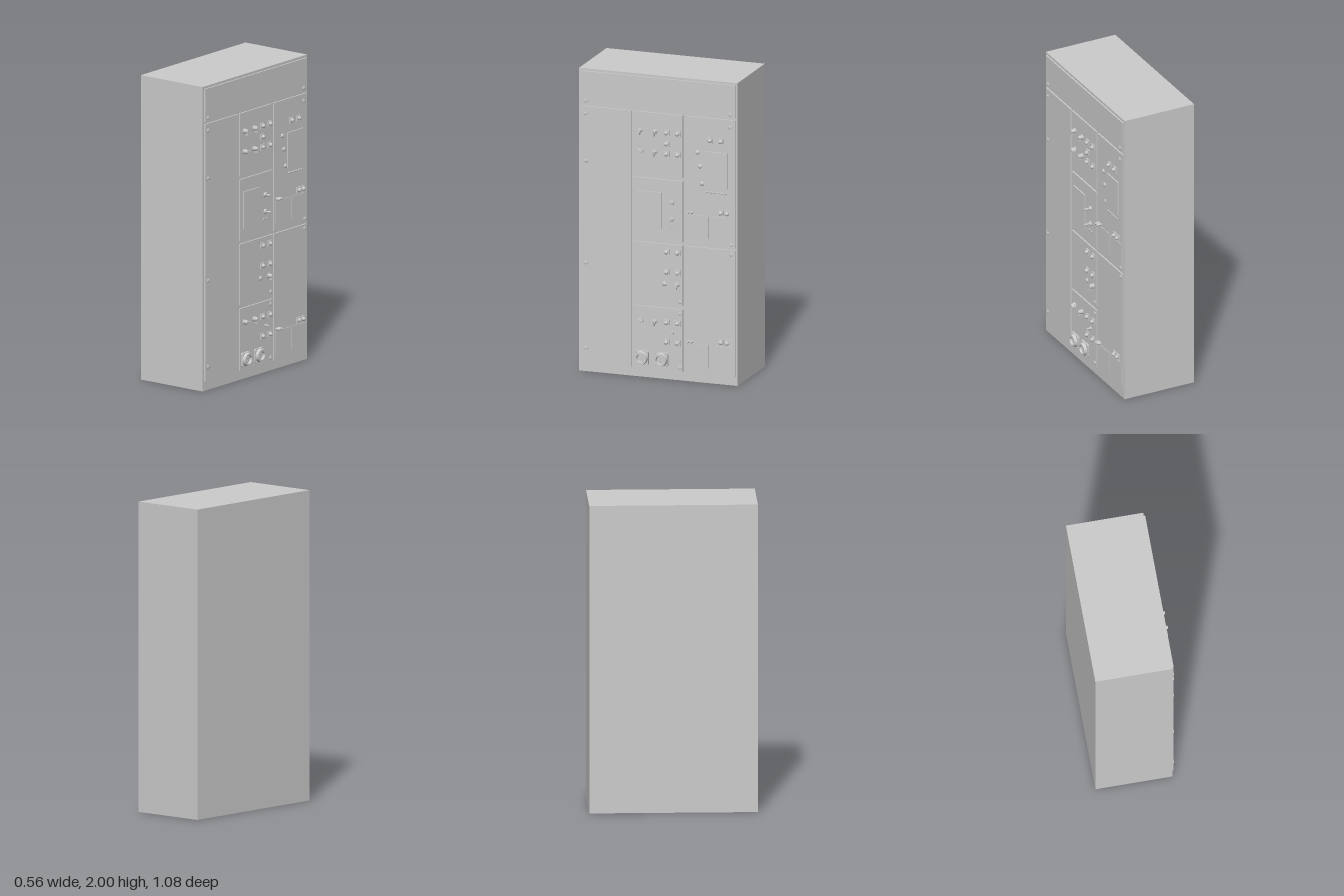
import * as THREE from 'three';

const mat = new THREE.MeshStandardMaterial({ color: 0xcccccc });
const FACE = 0.01; // door surface, measured from the cabinet wall

function add(parent, name, geo, x = 0, y = 0, z = 0) {
  const m = new THREE.Mesh(geo, mat);
  m.name = name;
  m.position.set(x, y, z);
  parent.add(m);
  return m;
}

// Plate given by its edges, standing from z0 to z1
function plate(parent, name, [x0, x1, y0, y1], z0, z1) {
  return add(parent, name, new THREE.BoxGeometry(x1 - x0, y1 - y0, z1 - z0),
    (x0 + x1) / 2, (y0 + y1) / 2, (z0 + z1) / 2);
}

// Cylinder standing out of the door
function stud(parent, name, x, y, r, z0, z1, rTop = r, seg = 20) {
  const g = new THREE.CylinderGeometry(rTop, r, z1 - z0, seg).rotateX(Math.PI / 2);
  return add(parent, name, g, x, y, (z0 + z1) / 2);
}

// Rounded cap standing out of the door
function dome(parent, name, x, y, r, z, h) {
  const g = new THREE.SphereGeometry(r, 18, 6, 0, Math.PI * 2, 0, Math.PI / 2);
  return add(parent, name, g.rotateX(Math.PI / 2).scale(1, 1, h / r), x, y, z);
}

function part(parent, name, x, y) {
  const g = new THREE.Group();
  g.name = name;
  g.position.set(x, y, FACE);
  parent.add(g);
  return g;
}

// Square bezel with a round lamp cap
function pushButton(parent, x, y, s = 0.037) {
  const g = part(parent, 'pushButton', x, y);
  plate(g, 'buttonBezel', [-s / 2, s / 2, -s / 2, s / 2], 0, 0.008);
  stud(g, 'buttonCollar', 0, 0, s * 0.38, 0.008, 0.014);
  dome(g, 'buttonCap', 0, 0, s * 0.36, 0.014, 0.011);
}

// Rotary selector with a grip bar and pointer
function selector(parent, x, y, angle = 0) {
  const g = part(parent, 'selectorSwitch', x, y);
  stud(g, 'selectorBase', 0, 0, 0.017, 0, 0.012);
  stud(g, 'selectorKnob', 0, 0, 0.014, 0.012, 0.031, 0.012);
  plate(g, 'selectorPointer', [-0.004, 0.004, -0.026, 0.008], 0.008, 0.032);
  g.rotation.z = angle;
}

// Power outlet: rounded flange, hollow tapered shroud and two contacts
function outlet(parent, x, y) {
  const g = part(parent, 'powerOutlet', x, y);
  const s = new THREE.Shape();
  const a = 0.047, c = 0.034;
  s.moveTo(-c, -a);
  s.lineTo(c, -a).quadraticCurveTo(a, -a, a, -c);
  s.lineTo(a, c).quadraticCurveTo(a, a, c, a);
  s.lineTo(-c, a).quadraticCurveTo(-a, a, -a, c);
  s.lineTo(-a, -c).quadraticCurveTo(-a, -a, -c, -a);
  add(g, 'outletFlange', new THREE.ExtrudeGeometry(s, { depth: 0.012, bevelEnabled: false, curveSegments: 5 }));
  const profile = [[0.045, 0.012], [0.041, 0.032], [0.027, 0.032], [0.024, 0.016], [0, 0.016]]
    .map(([r, z]) => new THREE.Vector2(r, z));
  // Separate bands keep the rims crisp
  for (let i = 0; i < profile.length - 1; i++) {
    add(g, 'outletShroud', new THREE.LatheGeometry([profile[i], profile[i + 1]], 24).rotateX(Math.PI / 2))
      .material = ringMat;
  }
  for (const dy of [-0.011, 0.011]) stud(g, 'outletContact', 0, dy, 0.005, 0.016, 0.024, 0.005, 12);
  for (const dx of [-0.037, 0.037]) for (const dy of [-0.037, 0.037]) {
    stud(g, 'outletScrew', dx, dy, 0.005, 0.012, 0.016, 0.005, 10);
  }
}
const ringMat = new THREE.MeshStandardMaterial({ color: 0xcccccc, side: THREE.DoubleSide });

export function createModel() {
  const model = new THREE.Group();
  model.name = 'controlCabinet';
  add(model, 'cabinetBody', new THREE.BoxGeometry(0.5, 2, 1.075), -0.03, 1, 0);

  // Control face: local x runs towards -z, local z points out towards +x
  const face = new THREE.Group();
  face.name = 'controlFace';
  face.rotation.y = Math.PI / 2;
  face.position.x = 0.22;
  model.add(face);

  // Doors
  const doors = [
    [-0.519, 0.524, 1.767, 1.984], [-0.519, -0.18, 0.061, 1.753],
    [-0.164, 0.169, 1.34, 1.753], [-0.164, 0.169, 0.915, 1.318],
    [-0.164, 0.169, 0.496, 0.894], [-0.164, 0.169, 0.061, 0.47],
    [0.185, 0.524, 0.91, 1.753], [0.185, 0.524, 0.061, 0.894],
  ];
  for (const d of doors) plate(face, 'door', d, 0, FACE);

  // Quarter-turn locks
  const locks = [[-0.49, 1.79], [0.49, 1.79], [-0.49, 1.706], [-0.49, 1.393], [-0.49, 0.72], [-0.49, 0.156],
    [0.49, 1.706], [0.5, 0.93], [0.5, 0.867], [0.15, 0.52], [0.15, 0.44], [0.15, 0.085]];
  for (const [x, y] of locks) {
    stud(face, 'doorLock', x, y, 0.015, FACE, FACE + 0.004);
    dome(face, 'lockCore', x, y, 0.011, FACE + 0.004, 0.003);
  }

  // Illuminated push buttons, in pairs along each row
  for (const y of [1.63, 1.49, 0.843, 0.71, 0.376, 0.247]) {
    for (const x of [0.06, 0.135]) pushButton(face, x, y);
  }
  pushButton(face, 0.06, 1.557);
  for (const x of [0.357, 0.43]) pushButton(face, x, 1.607);
  for (const y of [1.135, 0.28]) for (const x of [0.43, 0.473]) pushButton(face, x, y);

  // Selector switches
  for (const y of [1.63, 1.496, 0.376]) for (const x of [-0.12, -0.02]) {
    selector(face, x, y, y < 1.6 && x < -0.1 ? Math.PI / 2 : 0);
  }
  selector(face, 0.13, 0.63);

  // Display screens
  for (const [x0, x1, y0, y1] of [[-0.135, 0.024, 0.99, 1.233], [0.317, 0.476, 1.297, 1.533]]) {
    plate(face, 'displayScreen', [x0, x1, y0, y1], FACE, FACE + 0.008);
  }

  // Meter covers with a pair of test pins beside their buttons
  for (const y of [0.955, 0.101]) {
    for (const x of [0.198, 0.362]) plate(face, 'meterCover', [x, x + 0.149, y, y + 0.151], FACE, FACE + 0.004);
    for (const x of [0.208, 0.231]) stud(face, 'testPin', x, y + 0.164, 0.009, FACE, 0.041, 0.007, 14);
  }

  // Indicator lamps
  for (let i = 0; i < 6; i++) dome(face, 'indicatorLamp', 0.336 + i * 0.025, 1.265, 0.007, FACE, 0.007);
  for (const [x, y] of [[0.27, 1.52], [0.286, 1.43], [0.3, 1.317], [0.045, 0.63]]) {
    dome(face, 'warningLamp', x, y, 0.015, FACE, 0.01);
  }

  // Toggle levers, small jacks and a single key switch
  for (const y of [1.17, 1.06]) {
    stud(face, 'leverBase', 0.093, y, 0.016, FACE, 0.024, 0.014);
    stud(face, 'leverRod', 0.093, y, 0.006, 0.024, 0.057, 0.008, 14);
  }
  for (const x of [0.077, 0.108]) stud(face, 'jack', x, 1.01, 0.008, FACE, 0.016, 0.008, 14);
  stud(face, 'keySwitch', 0.098, 0.31, 0.011, FACE, 0.022);
  stud(face, 'keyStem', 0.098, 0.31, 0.006, 0.022, 0.042, 0.007, 14);

  // Power outlets
  for (const x of [-0.108, 0.024]) outlet(face, x, 0.13);

  return model;
}
